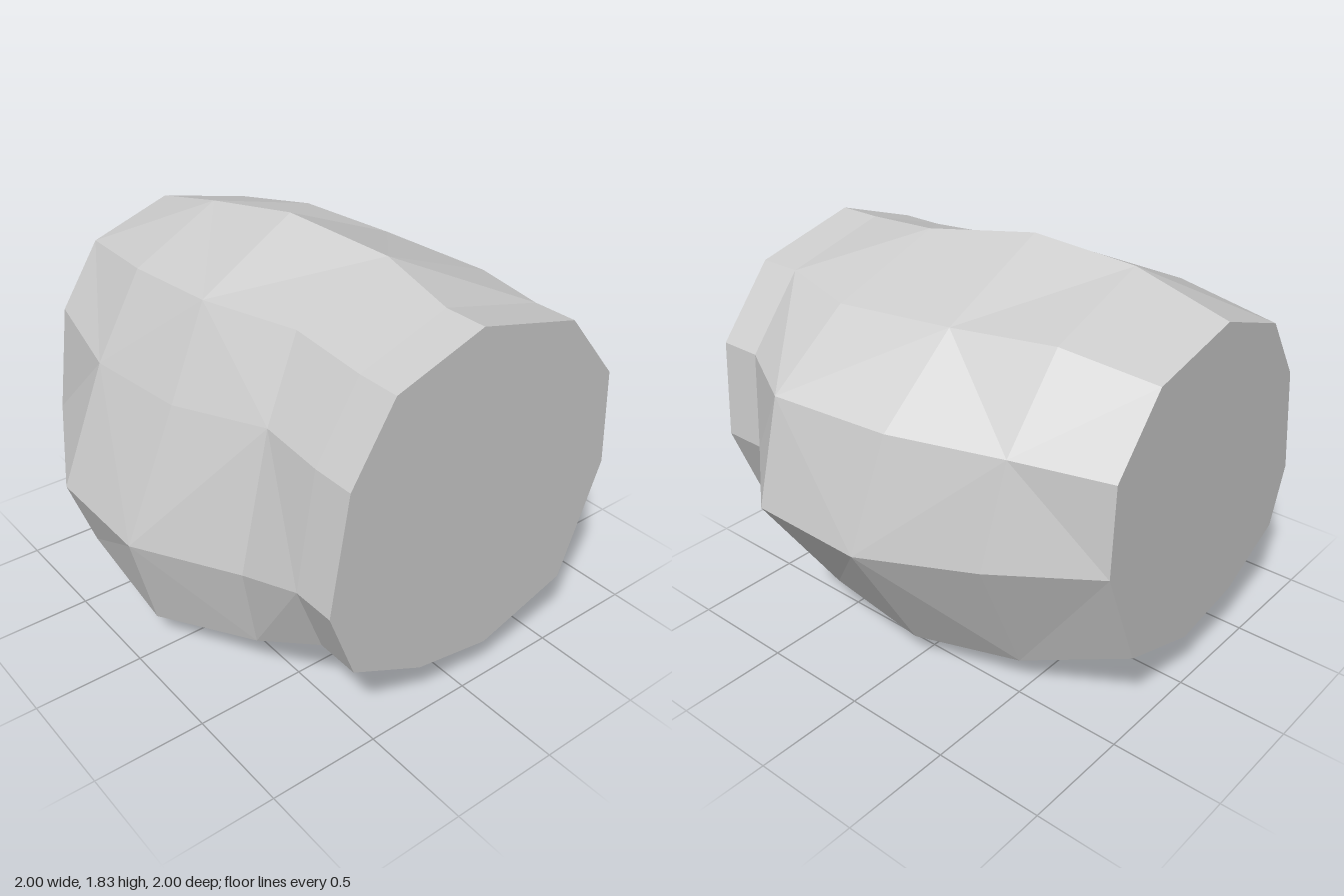
import * as THREE from 'three';

// Cross-sections of the boulder, [x, y, z], clockwise seen from the front,
// each starting at the lower corner on the -x side.
const frontEnd = [
  [-0.61, 0.42], [-0.73, 0.74], [-0.64, 1.26], [-0.44, 1.58], [-0.03, 1.72], [0.46, 1.60],
  [0.72, 1.29], [0.75, 0.85], [0.55, 0.33], [0.11, 0.19], [-0.26, 0.25],
];
const frontBulge = [
  [-0.68, 0.24, 0.45], [-0.76, 0.64, 0.48], [-0.62, 1.27, 0.48], [-0.44, 1.61, 0.43],
  [0.04, 1.77, 0.39], [0.56, 1.58, 0.41], [0.90, 1.27, 0.46], [1.00, 0.77, 0.50],
  [0.65, 0.23, 0.45], [0.18, 0.09, 0.40], [-0.25, 0.06, 0.40],
];
const middle = [
  [-0.87, 0.14, -0.05], [-0.98, 0.58, -0.04], [-0.75, 1.20, 0.00], [-0.56, 1.60, -0.03],
  [-0.07, 1.83, -0.10], [0.49, 1.60, -0.13], [0.82, 1.25, -0.08], [0.96, 0.72, 0.00],
  [0.62, 0.12, 0.00], [0.10, 0.05, -0.10], [-0.35, 0.00, -0.13],
];
const backBulge = [
  [-0.88, 0.28, -0.55], [-1.00, 0.62, -0.55], [-0.80, 1.20, -0.50], [-0.58, 1.58, -0.50],
  [-0.15, 1.77, -0.55], [0.40, 1.62, -0.59], [0.67, 1.25, -0.57], [0.77, 0.77, -0.52],
  [0.50, 0.17, -0.50], [0.02, 0.08, -0.54], [-0.42, 0.14, -0.55],
];
const backEnd = [
  [-0.68, 0.48], [-0.77, 0.75], [-0.70, 1.24], [-0.51, 1.53], [-0.13, 1.66], [0.32, 1.555],
  [0.57, 1.26], [0.59, 0.86], [0.40, 0.38], [0.00, 0.25], [-0.35, 0.31],
];

const atZ = (ring, z) => ring.map(([x, y]) => [x, y, z]);

function loftGeometry(rings) {
  const n = rings[0].length;
  const index = [];
  // Side facets, with diagonals alternating like a checkerboard
  for (let r = 0; r < rings.length - 1; r++) {
    for (let i = 0; i < n; i++) {
      const a = r * n + i;
      const b = r * n + (i + 1) % n;
      const c = a + n;
      const d = b + n;
      if ((r + i) % 2 === 0) index.push(a, b, d, a, d, c);
      else index.push(a, b, c, b, d, c);
    }
  }
  // Flat end caps
  const last = (rings.length - 1) * n;
  for (let i = 1; i < n - 1; i++) {
    index.push(0, i + 1, i);
    index.push(last, last + i, last + i + 1);
  }
  const indexed = new THREE.BufferGeometry();
  indexed.setAttribute('position', new THREE.Float32BufferAttribute(rings.flat(2), 3));
  indexed.setIndex(index);
  const geometry = indexed.toNonIndexed();
  geometry.computeVertexNormals();
  return geometry;
}

export function createModel() {
  const stone = new THREE.MeshStandardMaterial({ color: 0xcccccc });
  stone.name = 'stone grey';
  stone.flatShading = true;

  const boulder = new THREE.Mesh(loftGeometry([
    atZ(frontEnd, 1), atZ(frontEnd, 0.8), frontBulge, middle, backBulge, atZ(backEnd, -1),
  ]), stone);
  boulder.name = 'boulder';

  const model = new THREE.Group();
  model.name = 'rockSegment';
  model.add(boulder);
  return model;
}
